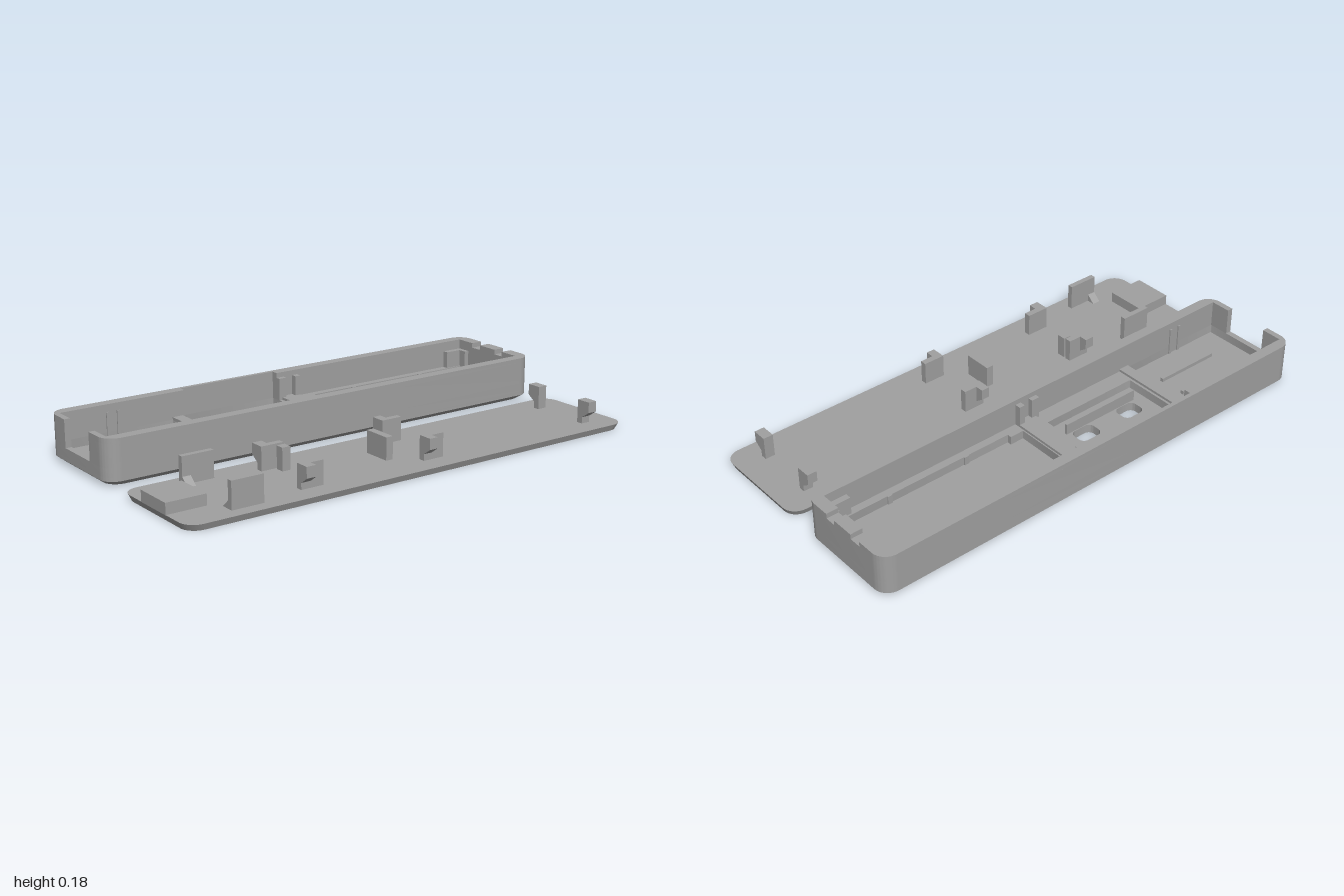
import * as THREE from 'three';
import { toCreasedNormals } from 'three/addons/utils/BufferGeometryUtils.js';

const grey = new THREE.MeshStandardMaterial({ color: 0xa0a0a0 });
grey.name = 'grey plastic';

// Rounded rectangle in the x-z plane
function rounded(Type, x0, z0, x1, z1, r) {
  const p = new Type();
  p.moveTo(x0 + r, z0);
  p.lineTo(x1 - r, z0);
  p.absarc(x1 - r, z0 + r, r, -Math.PI / 2, 0);
  p.lineTo(x1, z1 - r);
  p.absarc(x1 - r, z1 - r, r, 0, Math.PI / 2);
  p.lineTo(x0 + r, z1);
  p.absarc(x0 + r, z1 - r, r, Math.PI / 2, Math.PI);
  p.lineTo(x0, z0 + r);
  p.absarc(x0 + r, z0 + r, r, Math.PI, Math.PI * 1.5);
  return p;
}

// Polygon from x-z pairs
const poly = (pts) => new THREE.Shape(pts.map(([x, z]) => new THREE.Vector2(x, z)));

// Horizontal slab between two heights; chamfer pulls in the lower outer edge
function slab(shape, y0, y1, chamfer = 0, cx = 0) {
  const g = new THREE.ExtrudeGeometry(shape, { depth: y1 - y0, bevelEnabled: false, curveSegments: 8 });
  g.rotateX(Math.PI / 2).translate(0, y1, 0);
  if (chamfer) {
    const p = g.attributes.position;
    for (let i = 0; i < p.count; i++) {
      const dx = p.getX(i) - cx, z = p.getZ(i);
      if (p.getY(i) < y0 + 0.001 && (Math.abs(dx) > 0.1 || Math.abs(z) > 0.9)) {
        p.setX(i, cx + dx * (1 - chamfer / 0.225));
        p.setZ(i, z * (1 - chamfer));
      }
    }
  }
  return toCreasedNormals(g, 0.5);
}

function add(group, name, geometry) {
  const m = new THREE.Mesh(geometry, grey);
  m.name = name;
  group.add(m);
  return m;
}

// Box from its limits
function block(group, name, x0, x1, y0, y1, z0, z1) {
  const g = new THREE.BoxGeometry(x1 - x0, y1 - y0, z1 - z0);
  g.translate((x0 + x1) / 2, (y0 + y1) / 2, (z0 + z1) / 2);
  return add(group, name, g);
}

// Upright x-y profile extruded along z
function prism(group, name, pts, z0, z1) {
  const g = new THREE.ExtrudeGeometry(poly(pts), { depth: z1 - z0, bevelEnabled: false });
  g.translate(0, 0, z0);
  return add(group, name, g);
}

function createTray() {
  const tray = new THREE.Group();
  tray.name = 'tray';
  const cx = -0.275;
  const outline = () => rounded(THREE.Shape, -0.5, -1, -0.05, 1, 0.06);
  const rect = (x0, z0, x1, z1) => rounded(THREE.Path, x0, z0, x1, z1, 0.004);

  // Floor with two button openings
  const floor = outline();
  for (const [z0, z1] of [[0.065, 0.165], [0.29, 0.385]]) {
    floor.holes.push(rounded(THREE.Path, -0.312, z0, -0.238, z1, 0.025));
  }
  add(tray, 'chamferedBase', slab(floor, 0, 0.02, 0.025, cx));
  add(tray, 'floor', slab(floor, 0.02, 0.035));

  // Ledge layer with three bays
  const ledge = outline();
  ledge.holes.push(
    rect(-0.425, -0.945, -0.127, -0.09),
    rect(-0.483, 0.015, -0.165, 0.445),
    rect(-0.455, 0.5, -0.095, 0.976),
  );
  add(tray, 'bayLedges', slab(ledge, 0.035, 0.07));

  // Wall layer, open at the front; inner side steps out beside the middle bay
  const inner = [[-0.18, 0.976], [-0.095, 0.976], [-0.095, -0.95], [-0.455, -0.95], [-0.455, 0.015],
    [-0.483, 0.015], [-0.483, 0.445], [-0.455, 0.445], [-0.455, 0.976], [-0.37, 0.976]];
  const outer = outline().getPoints(8).map((v) => [v.x, v.y]);
  const cut = outer.findIndex(([x, z]) => z > 0.999 && x < -0.3);
  const ring = [...outer.slice(cut), ...outer.slice(1, cut)];
  add(tray, 'walls', slab(poly([[-0.37, 1], ...ring, [-0.18, 1], ...inner]), 0.07, 0.16));

  // Rim, also broken by two slots at the back
  const left = ring.filter(([x]) => x < cx), right = ring.filter(([x]) => x > cx);
  add(tray, 'rimOuterSide', slab(poly([[-0.37, 1], ...left, [-0.37, -1], ...inner.slice(3).map(
    ([x, z], i) => [x, z]).reduce((a, p, i) => (i ? [...a, p] : [[-0.37, -0.95], p]), [])]), 0.16, 0.18));
  add(tray, 'rimInnerSide', slab(poly([[-0.18, -1], ...right, [-0.18, 1],
    ...inner.slice(0, 3), [-0.18, -0.95]]), 0.16, 0.18));
  block(tray, 'backRimTab', -0.32, -0.225, 0.16, 0.18, -1, -0.95);

  // Dividers between bays
  block(tray, 'rearDivider', -0.455, -0.095, 0.068, 0.08, -0.085, 0);
  block(tray, 'frontDivider', -0.455, -0.095, 0.068, 0.08, 0.455, 0.5);
  block(tray, 'crossRib', -0.39, -0.16, 0.035, 0.06, 0.52, 0.535);
  block(tray, 'buttonRib', -0.235, -0.225, 0.035, 0.08, 0.05, 0.4);
  for (const x of [-0.33, -0.217]) block(tray, 'floorRib', x - 0.007, x + 0.007, 0.035, 0.05, 0.57, 0.85);

  // Posts and small ribs mirrored on both long walls
  for (const s of [-1, 1]) {
    const side = (name, a, b, y0, y1, z0, z1) => {
      const p = cx + s * a, q = cx + s * b;
      block(tray, name, Math.min(p, q), Math.max(p, q), y0, y1, z0, z1);
    };
    side('cornerPost', 0.155, 0.182, 0.068, 0.14, -0.952, -0.86);
    side('cornerPost', 0.12, 0.157, 0.068, 0.14, -0.952, -0.93);
    side('dividerPost', 0.155, 0.182, 0.068, 0.16, -0.085, -0.06);
    side('dividerPost', 0.16, 0.182, 0.068, 0.16, -0.02, 0.015);
    side('ledgeCorner', 0.13, 0.15, 0.035, 0.07, -0.15, -0.09);
    for (const z of [-0.7, -0.35]) side('gripBump', 0.143, 0.15, 0.035, 0.07, z - 0.01, z + 0.01);
    for (const z of [0.735, 0.78]) side('wallRib', 0.175, 0.182, 0.035, 0.15, z - 0.006, z + 0.006);
  }
  return tray;
}

function createLid() {
  const lid = new THREE.Group();
  lid.name = 'lid';
  const cx = 0.275;
  add(lid, 'lidPlate', slab(rounded(THREE.Shape, 0.05, -1, 0.5, 1, 0.06), 0, 0.025, 0.01, cx));
  block(lid, 'frontBlock', 0.19, 0.355, 0.024, 0.068, 0.84, 1);
  block(lid, 'middlePost', 0.212, 0.33, 0.024, 0.114, 0.03, 0.06);
  block(lid, 'smallPost', 0.172, 0.208, 0.024, 0.114, 0.4, 0.435);

  // Snap clips mirrored on both sides
  for (const s of [-1, 1]) {
    const profile = (pts) => {
      const out = pts.map(([d, y]) => [cx + s * d, y]);
      return s < 0 ? out.reverse() : out;
    };
    const wall = profile([[0.112, 0.024], [0.138, 0.024], [0.138, 0.118], [0.112, 0.118]]);
    const hook = profile([[0.137, 0.05], [0.172, 0.075], [0.172, 0.118], [0.137, 0.118]]);
    for (const [w0, w1, h0, h1] of [[-0.89, -0.85, -0.89, -0.85], [-0.14, -0.05, -0.085, -0.05], [0.4, 0.495, 0.455, 0.495]]) {
      prism(lid, 'clipWall', wall, w0, w1);
      prism(lid, 'clipHook', hook, h0, h1);
    }
    // Tall front tab with a sloped foot
    prism(lid, 'frontTab', profile([[0.115, 0.024], [0.172, 0.024], [0.172, 0.13], [0.15, 0.13], [0.15, 0.055]]), 0.765, 0.8);
    prism(lid, 'frontTab', profile([[0.15, 0.024], [0.172, 0.024], [0.172, 0.13], [0.15, 0.13]]), 0.67, 0.765);
  }
  return lid;
}

export function createModel() {
  const model = new THREE.Group();
  model.name = 'remoteCase';
  model.add(createTray(), createLid());
  return model;
}
